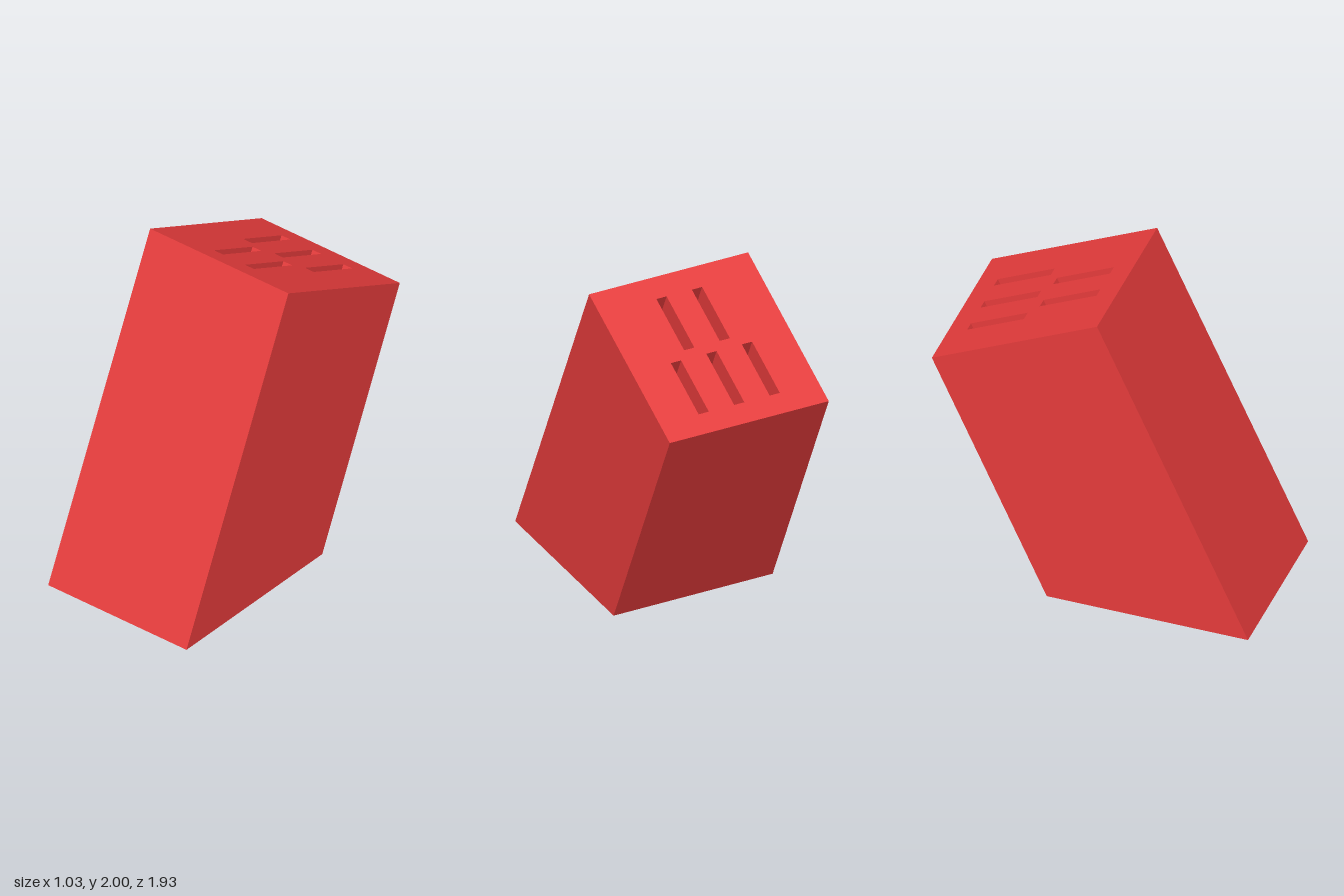
import * as THREE from 'three';

const WIDTH = 1.03, DEPTH = 1.11;          // block section
const FRONT = 2.202, BACK = 1.675;         // lengths of front and back faces
const TILT = 0.432;                        // backward lean
const SLOT = { width: 0.066, length: 0.382, depth: 1.4 };

// Slot centres: x, and distance back from the front edge of the top
const slots = [
  [-0.23, 0.781], [0, 0.781], [0.23, 0.781],
  [-0.115, 0.338], [0.115, 0.338],
];

// Box hanging below y = 0 without its top face; inward turns it inside out
function openBox(width, height, depth, inward = false) {
  const geometry = new THREE.BoxGeometry(width, height, depth);
  geometry.translate(0, -height / 2, 0);
  const index = Array.from(geometry.index.array);
  index.splice(12, 6);
  if (inward) index.reverse();
  geometry.setIndex(index);
  geometry.clearGroups();
  const flat = geometry.toNonIndexed();
  flat.computeVertexNormals();
  return flat;
}

export function createModel() {
  const red = new THREE.MeshStandardMaterial({ color: 0xe53b3b });
  red.name = 'red';
  const model = new THREE.Group();
  model.name = 'knifeBlock';

  const block = new THREE.Group();
  block.name = 'leaningBlock';
  block.position.set(0, 2, 0.043);
  block.rotation.x = -TILT;
  model.add(block);

  const add = (name, geometry) => {
    const mesh = new THREE.Mesh(geometry, red);
    mesh.name = name;
    block.add(mesh);
    return mesh;
  };

  // Body with the foot cut at a slant so that it leans
  const body = openBox(WIDTH, FRONT, DEPTH);
  body.translate(0, 0, -DEPTH / 2);
  const p = body.attributes.position;
  for (let i = 0; i < p.count; i++) {
    if (p.getY(i) < -1 && p.getZ(i) < -DEPTH / 2) p.setY(i, -BACK);
  }
  body.computeVertexNormals();
  add('body', body);

  // Top face pierced by the slots
  const rectangle = (path, x, y, w, h) => path.setFromPoints([
    new THREE.Vector2(x - w / 2, y - h / 2), new THREE.Vector2(x + w / 2, y - h / 2),
    new THREE.Vector2(x + w / 2, y + h / 2), new THREE.Vector2(x - w / 2, y + h / 2),
  ]);
  const outline = rectangle(new THREE.Shape(), 0, DEPTH / 2, WIDTH, DEPTH);
  for (const [x, back] of slots) {
    outline.holes.push(rectangle(new THREE.Path(), x, back, SLOT.width, SLOT.length));
  }
  add('slottedTop', new THREE.ShapeGeometry(outline).rotateX(-Math.PI / 2));

  // Slot walls and floors
  slots.forEach(([x, back], i) => {
    add(`knifeSlot${i + 1}`, openBox(SLOT.width, SLOT.depth, SLOT.length, true))
      .position.set(x, 0, -back);
  });

  return model;
}
